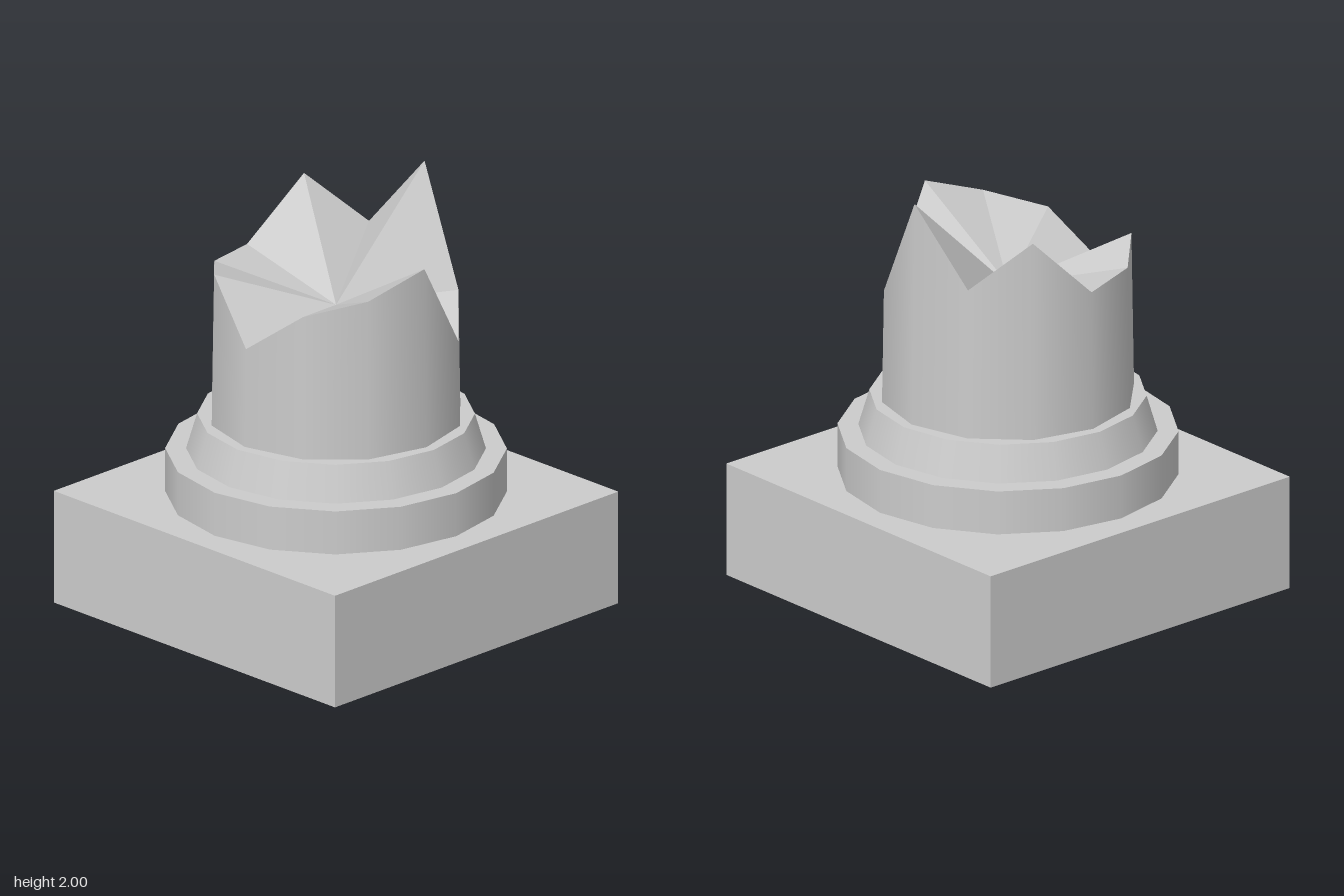
import * as THREE from 'three';

export function createModel() {
  const model = new THREE.Group();
  model.name = 'brokenColumn';
  const stone = new THREE.MeshStandardMaterial({ color: 0xcccccc });
  stone.name = 'stone grey';

  const add = (name, geometry, y = 0) => {
    const mesh = new THREE.Mesh(geometry, stone);
    mesh.name = name;
    mesh.position.y = y;
    model.add(mesh);
  };

  // Square plinth and two round mouldings
  add('plinth', new THREE.BoxGeometry(1.81, 0.545, 1.81), 0.2725);
  add('lowerRing', new THREE.CylinderGeometry(0.775, 0.775, 0.21, 16), 0.65);
  add('taperedRing', new THREE.CylinderGeometry(0.63, 0.68, 0.17, 16), 0.84);

  // Height of the broken rim at each corner, from the front towards +x
  const rim = [1.79, 1.335, 1.47, 2.0, 1.645, 1.88, 1.59, 1.61, 1.66, 1.4, 1.615, 1.69];
  const sides = rim.length;
  const foot = 0.925;
  const rimPoint = (i) => {
    const y = rim[i % sides];
    const a = (i % sides) / sides * Math.PI * 2;
    const r = 0.583 - 0.016 * (y - foot);
    return new THREE.Vector3(r * Math.sin(a), y, r * Math.cos(a));
  };

  // Shaft: open cylinder whose top row follows the rim
  const shaft = new THREE.CylinderGeometry(0.583, 0.583, 1, sides, 1, true);
  const pos = shaft.attributes.position;
  for (let i = 0; i <= sides; i++) {
    const p = rimPoint(i);
    pos.setXYZ(i, p.x, p.y, p.z);
    pos.setY(i + sides + 1, foot);
  }
  add('shaft', shaft);

  // Jagged break: flat facets from the rim to a central point
  const points = [];
  for (let i = 0; i < sides; i++) {
    points.push(new THREE.Vector3(0, 1.455, 0), rimPoint(i), rimPoint(i + 1));
  }
  const fracture = new THREE.BufferGeometry().setFromPoints(points);
  fracture.computeVertexNormals();
  add('fracture', fracture);

  return model;
}
